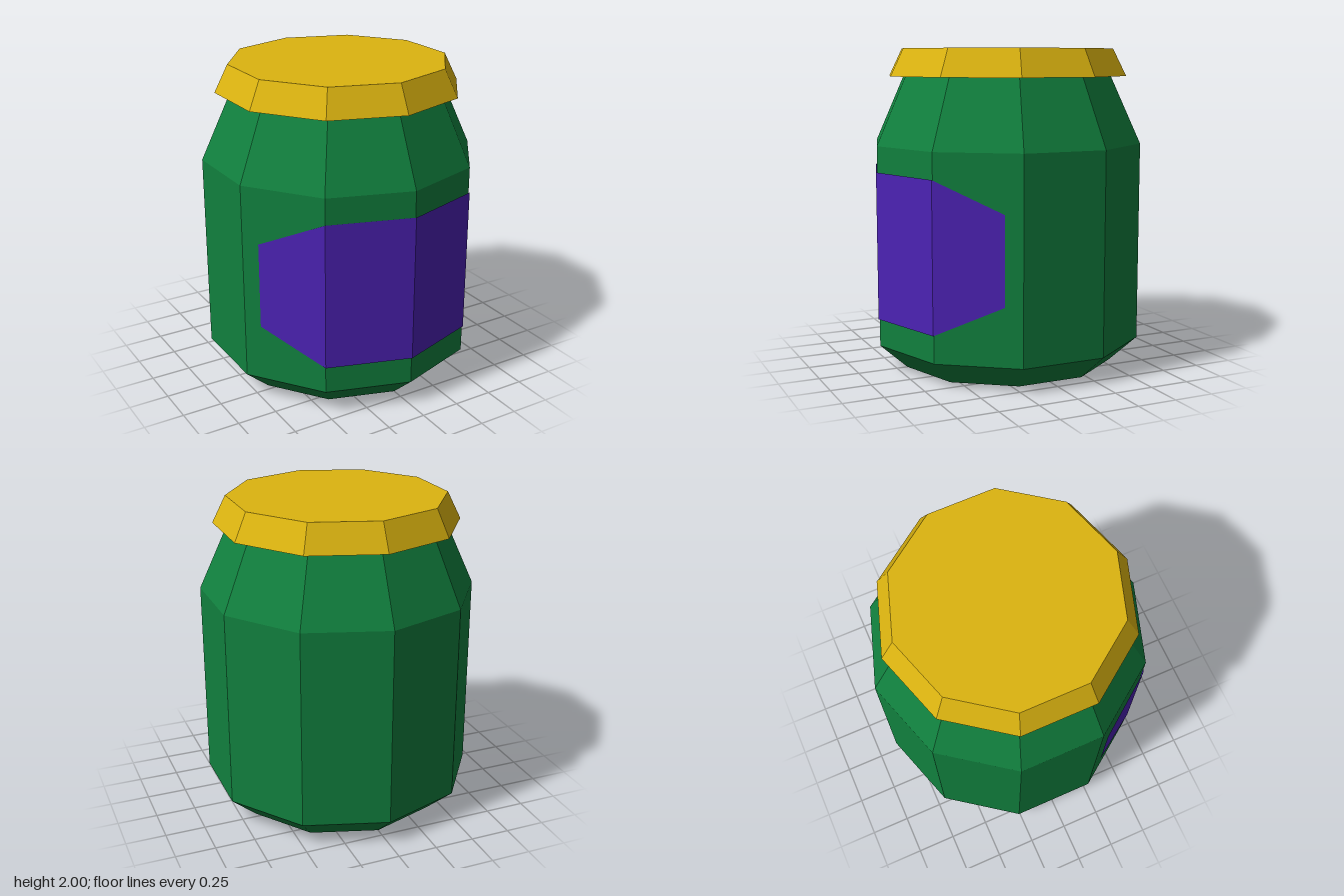
import * as THREE from 'three';

const SIDES = 10;

export function createModel() {
  const mat = (name, color, extra = {}) => {
    const m = new THREE.MeshStandardMaterial({ color, flatShading: true, ...extra });
    m.name = name;
    return m;
  };
  const green = mat('jar green', 0x11803e);
  const gold = mat('lid gold', 0xdcb410);
  const brown = mat('lid underside brown', 0xa8640f);
  const purple = mat('label purple', 0x4c22b4, { side: THREE.DoubleSide });

  const model = new THREE.Group();
  model.name = 'jar';
  const add = (name, geometry, material) => {
    const mesh = new THREE.Mesh(geometry, material);
    mesh.name = name;
    model.add(mesh);
    return mesh;
  };
  const lathe = (profile) =>
    new THREE.LatheGeometry(profile.map(([r, y]) => new THREE.Vector2(r, y)), SIDES);

  // Ten-sided body: chamfered foot, straight wall, sloping shoulder
  add('body', lathe([[0, 0], [0.685, 0], [0.862, 0.16], [0.862, 1.41], [0.672, 1.83]]), green);

  // Tapered lid with a flat top
  add('lid', lathe([[0.768, 1.83], [0.684, 2], [0, 2]]), gold);

  // Downward-facing rim under the lid
  const rim = new THREE.RingGeometry(0.66, 0.768, SIDES, 1, Math.PI / 2);
  rim.rotateX(Math.PI / 2);
  add('lidUnderside', rim, brown).position.y = 1.83;

  // Label strip folded around the front four faces: [x, z, bottom, top]
  const columns = [
    [-0.76, 0.357, 0.52, 1.06],
    [-0.51, 0.704, 0.33, 1.25],
    [0, 0.87, 0.33, 1.25],
    [0.51, 0.704, 0.33, 1.25],
    [0.76, 0.357, 0.52, 1.06],
  ];
  const positions = columns.flatMap(([x, z, low, high]) => [x, low, z, x, high, z]);
  const index = [];
  for (let i = 0; i < columns.length - 1; i++) {
    const a = i * 2;
    index.push(a, a + 2, a + 3, a, a + 3, a + 1);
  }
  const label = new THREE.BufferGeometry();
  label.setAttribute('position', new THREE.Float32BufferAttribute(positions, 3));
  label.setIndex(index);
  label.computeVertexNormals();
  add('label', label, purple);

  model.position.z = -0.005;
  return model;
}
